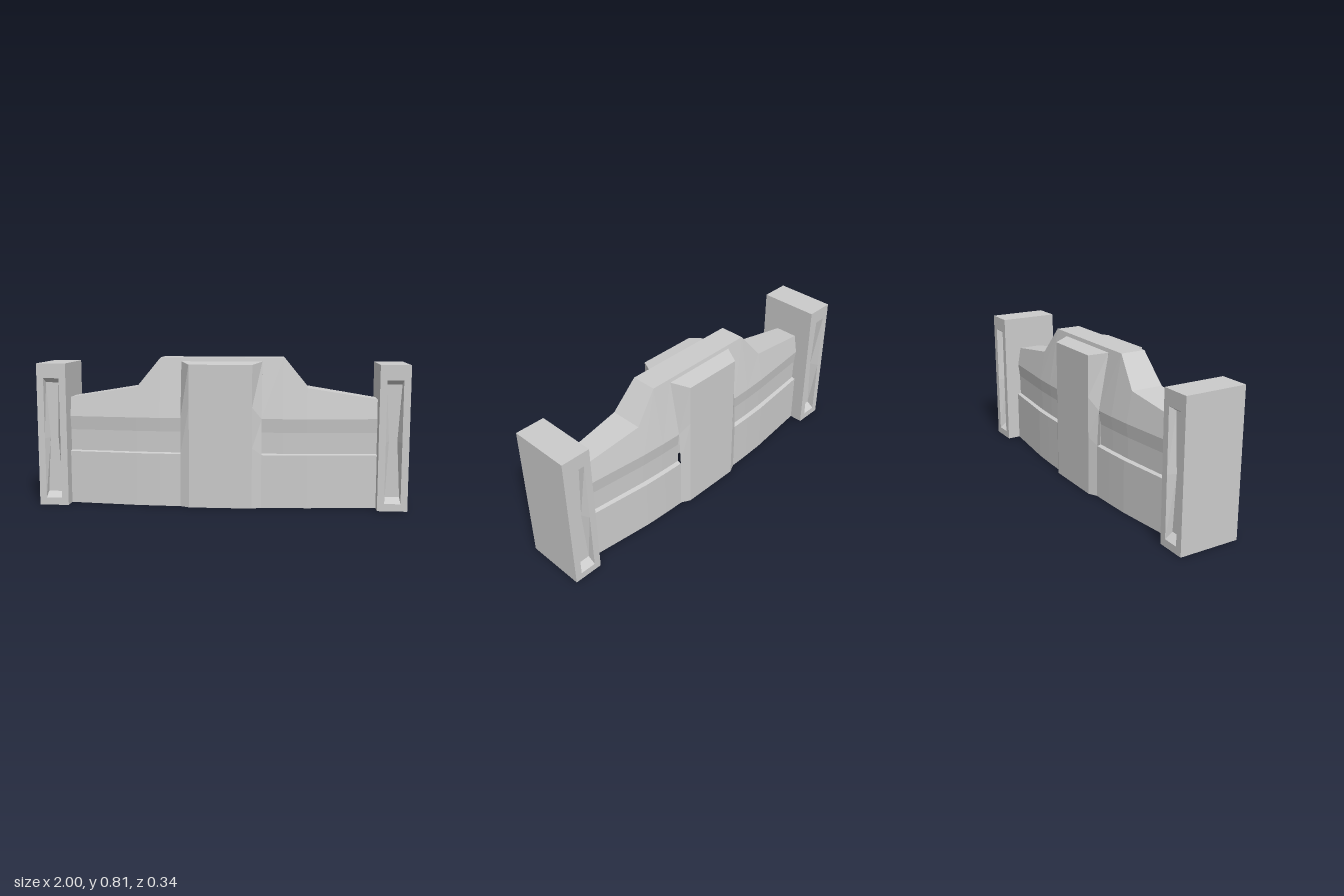
import * as THREE from 'three';

const material = new THREE.MeshStandardMaterial({
  color: 0xcccccc, flatShading: true, side: THREE.DoubleSide,
});

// Skin a grid of points: rows of equal length, each point [x, y, z]
function loft(rows) {
  const pos = [];
  for (let r = 0; r < rows.length - 1; r++) {
    for (let c = 0; c < rows[r].length - 1; c++) {
      const a = rows[r][c], b = rows[r + 1][c], d = rows[r][c + 1], e = rows[r + 1][c + 1];
      pos.push(...a, ...b, ...e, ...a, ...e, ...d);
    }
  }
  const g = new THREE.BufferGeometry();
  g.setAttribute('position', new THREE.Float32BufferAttribute(pos, 3));
  g.computeVertexNormals();
  return g;
}

function part(name, geometry, parent) {
  const m = new THREE.Mesh(geometry, material);
  m.name = name;
  parent.add(m);
  return m;
}

// Cross-section of the wall: low skirt, ledge, overhanging ridge, tapered crown
function wallSection([x, top, crown, ridge, skirt]) {
  const half = [
    [0, skirt], [0.29, skirt], [0.295, ridge - 0.012],
    [0.41, ridge - 0.01], [0.485, ridge], [top, crown],
  ];
  return [
    ...half.map(([y, z]) => [x, y, z]),
    ...half.slice().reverse().map(([y, z]) => [x, y, -z]),
  ];
}

const HW = 0.168; // half depth of posts and pilasters
const POST_TOP = 0.78;

function createPost() {
  const post = new THREE.Group();
  // Outer shell, open underneath
  const path = [[0.84, 0], [0.84, POST_TOP], [1, POST_TOP], [1, 0]];
  part('postShell', loft([-HW, HW].map(z => path.map(([x, y]) => [x, y, z]))), post);

  // Recessed panel with pinched sides, on both faces
  const cx = 0.92, w = 0.043, depth = 0.04;
  const loop = (y0, y1, ends, mid) => [
    [cx - ends, y0], [cx + ends, y0], [cx + mid, (y0 + y1) / 2],
    [cx + ends, y1], [cx - ends, y1], [cx - mid, (y0 + y1) / 2],
  ];
  const rim = loop(0.04, 0.7, w, w);
  const floor = loop(0.07, 0.675, w - 0.003, 0.022);
  const toShape = pts => new THREE.Shape(pts.map(p => new THREE.Vector2(...p)));
  const ring = (pts, z) => [...pts, pts[0]].map(([x, y]) => [x, y, z]);

  for (const side of [0, 1]) {
    const face = new THREE.Group();
    face.name = side ? 'postBackFace' : 'postFrontFace';
    const frame = toShape([[0.84, 0], [1, 0], [1, POST_TOP], [0.84, POST_TOP]]);
    frame.holes.push(toShape(rim));
    part('faceFrame', new THREE.ShapeGeometry(frame), face).position.z = HW;
    part('recessSides', loft([ring(floor, HW - depth), ring(rim, HW)]), face);
    part('recessFloor', new THREE.ShapeGeometry(toShape(floor)), face).position.z = HW - depth;
    if (side) {
      // turn about the post's own vertical axis
      face.rotation.y = Math.PI;
      face.position.x = 2 * cx;
    }
    post.add(face);
  }
  return post;
}

export function createModel() {
  const model = new THREE.Group();
  model.name = 'barrier';

  // Wall wings: x, top height, crown, ridge and skirt half depths
  const stations = [
    [0.22, 0.81, 0.07, 0.132, 0.143],
    [0.335, 0.81, 0.07, 0.129, 0.14],
    [0.465, 0.65, 0.09, 0.122, 0.134],
    [0.84, 0.59, 0.065, 0.085, 0.093],
  ];
  const wing = loft(stations.map(wallSection));

  // Central pilaster, one per face, with bevelled flanks
  const flank = [[0, 0.143], [0.29, 0.143], [0.485, 0.132], [0.79, 0.075], [0.79, 0.074]];
  const front = [[0, HW], [0.33, HW], [0.55, HW], [0.777, HW], [0.79, 0.074]];
  const pilaster = loft([[-0.22, flank], [-0.17, front], [0.17, front], [0.22, flank]]
    .map(([x, pts]) => pts.map(([y, z]) => [x, y, z])));

  // Everything repeats by a half turn
  for (const turn of [0, 1]) {
    const half = new THREE.Group();
    half.name = turn ? 'rightHalf' : 'leftHalf';
    part('wallWing', wing, half);
    part('pilaster', pilaster, half);
    const post = createPost();
    post.name = 'endPost';
    half.add(post);
    half.rotation.y = turn * Math.PI;
    model.add(half);
  }

  // Flat cap between the wings
  const cap = [[0.79, 0.074], [0.81, 0.07], [0.81, -0.07], [0.79, -0.074]];
  part('centreCap', loft([-0.22, 0.22].map(x => cap.map(([y, z]) => [x, y, z]))), model);
  return model;
}
